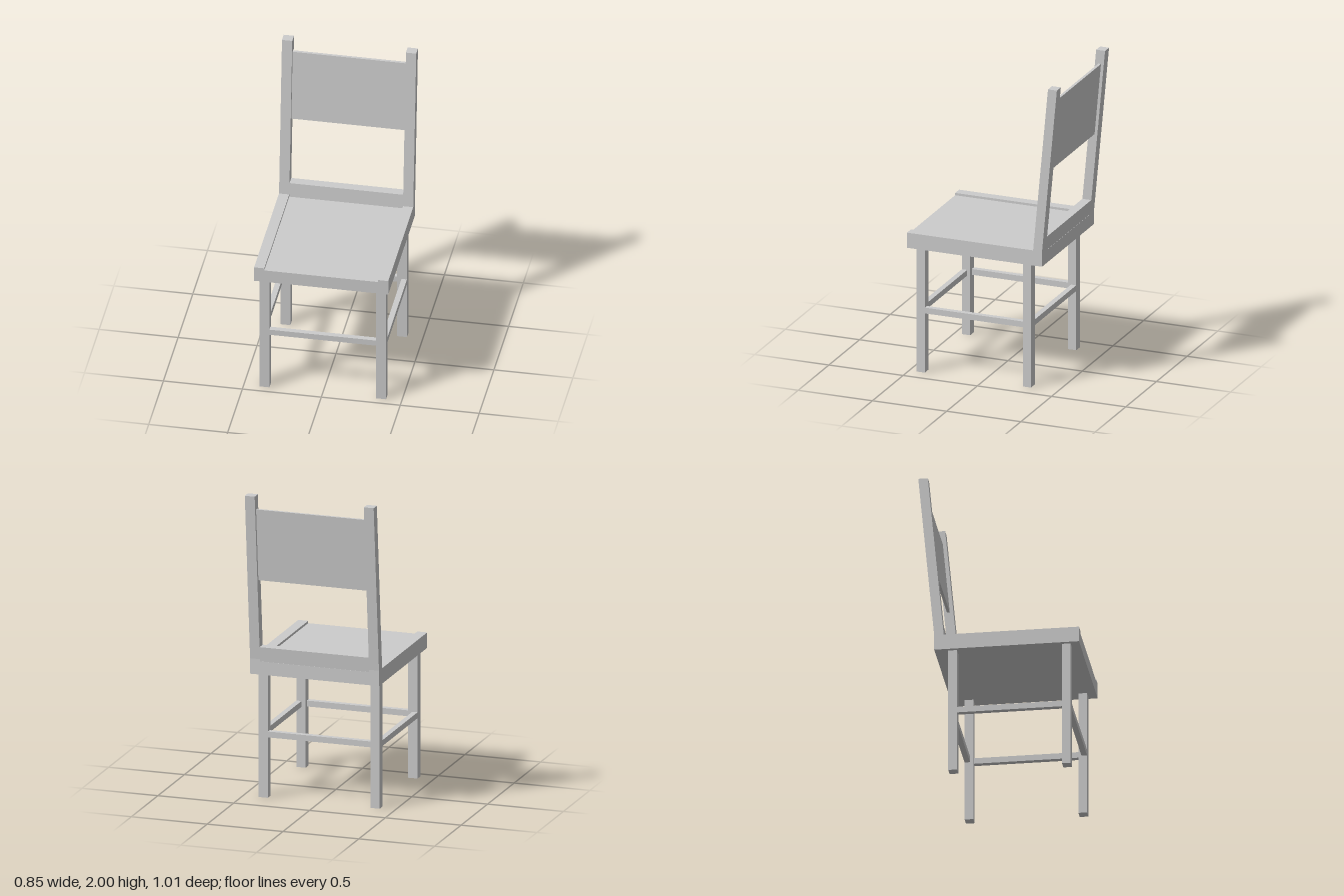
import * as THREE from 'three';

const material = new THREE.MeshStandardMaterial({ color: 0xcccccc, flatShading: true });

// Front surface of the leaning back at height y
const lean = (y) => -0.345 - 0.1 * (y - 0.92) / 1.08;

export function createModel() {
  const group = new THREE.Group();

  const add = (name, geometry) => {
    const mesh = new THREE.Mesh(geometry, material);
    mesh.name = name;
    group.add(mesh);
  };

  // Box given by its limits on each axis
  const box = (name, x0, x1, y0, y1, z0, z1) => {
    const g = new THREE.BoxGeometry(x1 - x0, y1 - y0, z1 - z0);
    g.translate((x0 + x1) / 2, (y0 + y1) / 2, (z0 + z1) / 2);
    add(name, g);
  };

  // Side profile of [z, y] points, extruded from x0 to x1
  const profile = (name, points, x0, x1) => {
    const shape = new THREE.Shape(points.map(([z, y]) => new THREE.Vector2(-z, y)));
    const g = new THREE.ExtrudeGeometry(shape, { depth: x1 - x0, bevelEnabled: false });
    g.rotateY(Math.PI / 2);
    g.translate(x0, 0, 0);
    add(name, g);
  };

  // Leaning slab between two heights, set back from the front surface
  const leaning = (name, x0, x1, y0, y1, inset, depth) => {
    const front = (y) => lean(y) - inset;
    profile(name, [
      [front(y0), y0], [front(y0) - depth, y0],
      [front(y1) - depth, y1], [front(y1), y1],
    ], x0, x1);
  };

  // Seat with a shallow recess between two raised side edges
  box('seatPanel', -0.36, 0.36, 0.82, 0.905, -0.405, 0.505);
  for (const s of [-1, 1]) {
    const [x0, x1] = s < 0 ? [-0.425, -0.36] : [0.36, 0.425];
    box('seatSide', x0, x1, 0.82, 0.92, -0.405, 0.505);
    leaning('backPost', x0, x1, 0.92, 2, 0, 0.06);
  }

  // Back rail and thin back panel between the posts
  leaning('backRail', -0.36, 0.36, 0.905, 1, 0, 0.06);
  leaning('backPanel', -0.36, 0.36, 1.44, 1.91, 0.023, 0.018);

  // Legs and side stretchers
  for (const s of [-1, 1]) {
    const [x0, x1] = s < 0 ? [-0.4, -0.338] : [0.338, 0.4];
    box('frontLeg', x0, x1, 0, 0.82, 0.395, 0.45);
    box('backLeg', x0, x1, 0, 0.82, -0.32, -0.265);
    const outer = s * 0.4, inner = s * 0.365;
    box('sideStretcher', Math.min(outer, inner), Math.max(outer, inner), 0.392, 0.43, -0.265, 0.395);
  }

  // Front and back stretchers
  box('frontStretcher', -0.338, 0.338, 0.392, 0.43, 0.415, 0.45);
  box('backStretcher', -0.338, 0.338, 0.392, 0.43, -0.32, -0.285);

  return group;
}
